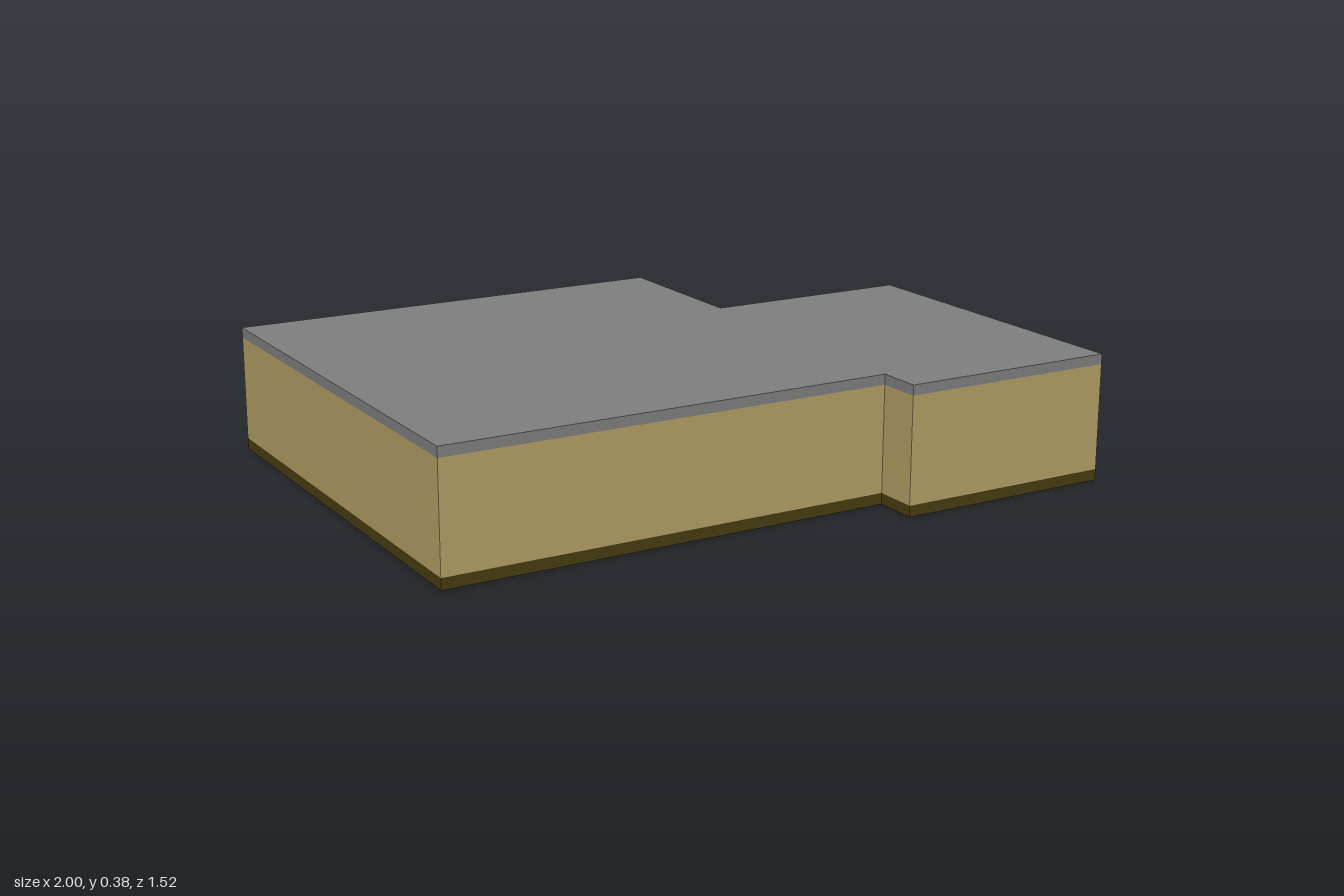
import * as THREE from 'three';

const BASE_TOP = 0.033, ROOF_BOTTOM = 0.345, ROOF_TOP = 0.375, THICK = 0.025;

// Floor plan corners as [x, z], walked so that outside is always on the same hand
const PLAN = [
  [-1, 0.63], [0.34, 0.63], [0.34, 0.76], [1, 0.76],
  [1, -0.26], [0.36, -0.26], [0.36, -0.76], [-1, -0.76],
];

// Openings per wall index; from/to run along the wall from its first corner
const WINDOW = { bottom: 0.13, top: 0.267 };
const OPENINGS = {
  4: { windows: [[0.2, 0.45]] },
  6: { windows: [[0.14, 0.385], [0.635, 0.885]], door: { from: 1.15, to: 1.285, top: 0.262 } },
};

const paint = (color) => new THREE.MeshStandardMaterial({ color, roughness: 1, flatShading: true });

function addMesh(parent, name, geometry, material) {
  const mesh = new THREE.Mesh(geometry, material);
  mesh.name = name;
  parent.add(mesh);
  return mesh;
}

// Horizontal slab with the outline of the floor plan
function slab(bottom, top) {
  const shape = new THREE.Shape(PLAN.map(([x, z]) => new THREE.Vector2(x, -z)));
  return new THREE.ExtrudeGeometry(shape, { depth: top - bottom, bevelEnabled: false })
    .rotateX(-Math.PI / 2)
    .translate(0, bottom, 0);
}

// Upright wall in its own plane, outer face at z = 0, with window holes and a door notch
function wallGeometry(length, { windows = [], door } = {}) {
  const outline = [[0, BASE_TOP]];
  if (door) {
    outline.push([door.from, BASE_TOP], [door.from, door.top], [door.to, door.top], [door.to, BASE_TOP]);
  }
  outline.push([length, BASE_TOP], [length, ROOF_BOTTOM], [0, ROOF_BOTTOM]);
  const shape = new THREE.Shape(outline.map((p) => new THREE.Vector2(...p)));
  for (const [a, b] of windows) {
    shape.holes.push(new THREE.Path([
      new THREE.Vector2(a, WINDOW.bottom), new THREE.Vector2(a, WINDOW.top),
      new THREE.Vector2(b, WINDOW.top), new THREE.Vector2(b, WINDOW.bottom),
    ]));
  }
  return new THREE.ExtrudeGeometry(shape, { depth: THICK, bevelEnabled: false }).translate(0, 0, -THICK);
}

export function createModel() {
  const model = new THREE.Group();
  model.name = 'house';
  const wallPaint = paint(0xb5a165);
  const glassPaint = paint(0x0b0b0b);

  addMesh(model, 'foundation', slab(0, BASE_TOP), paint(0x483d10));
  addMesh(model, 'roof', slab(ROOF_BOTTOM, ROOF_TOP), paint(0x808080));

  // Outer walls, one per side of the plan
  PLAN.forEach(([x0, z0], i) => {
    const [x1, z1] = PLAN[(i + 1) % PLAN.length];
    const [x2, z2] = PLAN[(i + 2) % PLAN.length];
    const dx = x1 - x0, dz = z1 - z0;
    const convex = dz * (x2 - x1) - dx * (z2 - z1) > 0;
    // Stop short at outward corners and run on at inward ones, so walls meet cleanly
    const length = Math.hypot(dx, dz) + (convex ? -THICK : THICK);

    const side = new THREE.Group();
    side.name = `wallSide${i + 1}`;
    side.position.set(x0, 0, z0);
    side.rotation.y = Math.atan2(-dz, dx);
    model.add(side);

    const openings = OPENINGS[i];
    addMesh(side, 'wall', wallGeometry(length, openings), wallPaint);

    // Dark panes set just inside the wall face
    for (const [a, b] of openings?.windows ?? []) {
      const pane = new THREE.BoxGeometry(b - a, WINDOW.top - WINDOW.bottom, 0.012);
      addMesh(side, 'windowPane', pane, glassPaint)
        .position.set((a + b) / 2, (WINDOW.top + WINDOW.bottom) / 2, -THICK / 2);
    }
  });

  // Inner wall beside the entrance
  const depth = 0.63 + 0.76 - 2 * THICK;
  const partition = new THREE.BoxGeometry(THICK, ROOF_BOTTOM - BASE_TOP, depth);
  addMesh(model, 'partitionWall', partition, wallPaint)
    .position.set(-0.715, (ROOF_BOTTOM + BASE_TOP) / 2, (0.63 - 0.76) / 2);

  return model;
}
